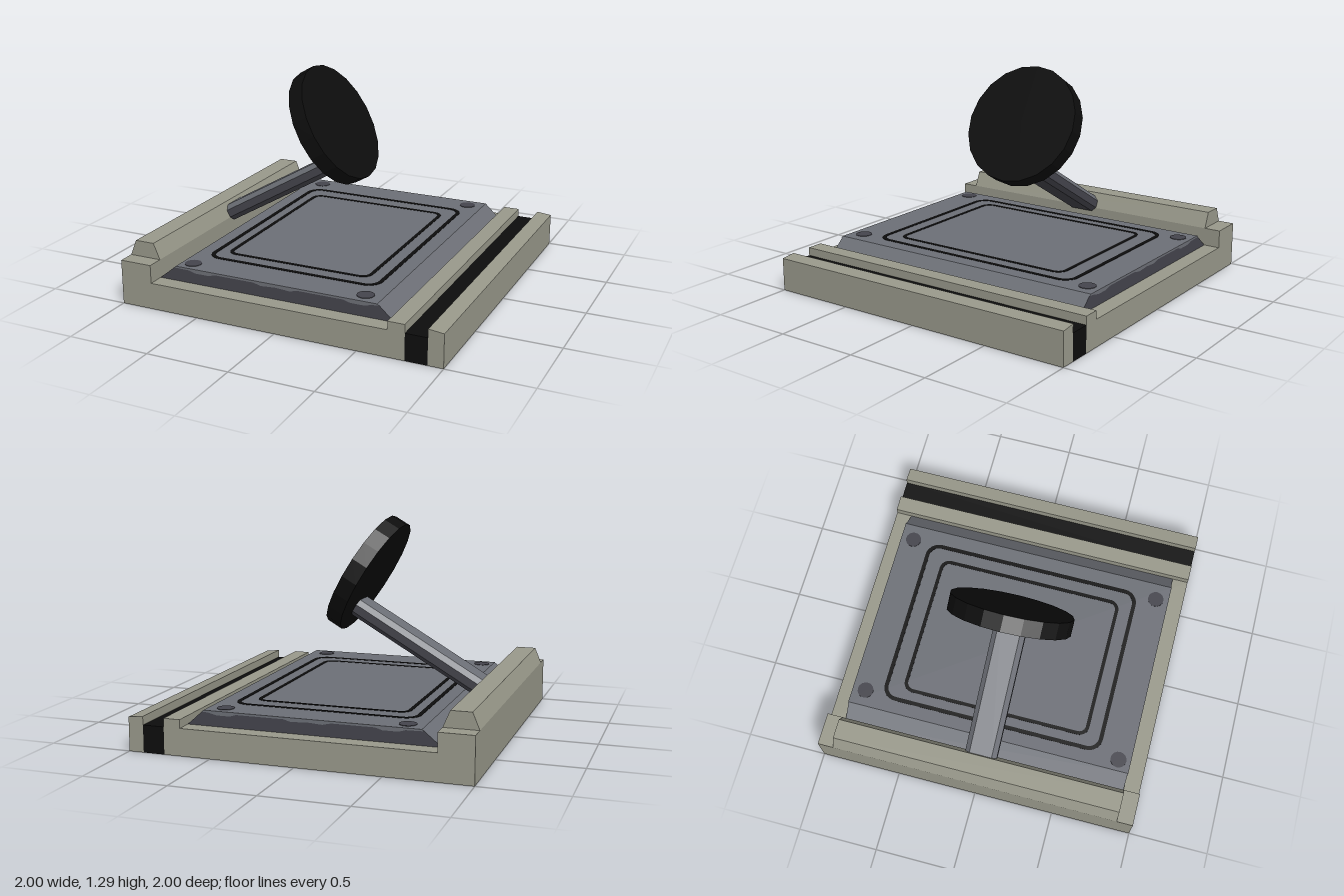
import * as THREE from 'three';

const mat = (name, color) => {
  const m = new THREE.MeshStandardMaterial({ color });
  m.name = name;
  return m;
};

export function createModel() {
  const group = new THREE.Group();
  const casing = mat('casing beige', 0x98988a);
  const metal = mat('metal grey', 0x6c6f76);
  const dark = mat('dark grey', 0x44444c);
  const black = mat('black', 0x0d0d0d);

  const add = (name, geometry, material) => {
    const mesh = new THREE.Mesh(geometry, material);
    mesh.name = name;
    group.add(mesh);
    return mesh;
  };
  const polygon = (pts) => new THREE.Shape(pts.map(([x, y]) => new THREE.Vector2(x, y)));
  // Extrude an outline along z, centred on z = 0
  const prism = (shape, depth) =>
    new THREE.ExtrudeGeometry(shape, { depth, bevelEnabled: false, curveSegments: 6 }).translate(0, 0, -depth / 2);

  // Casing: tray with a high left wall, plus a separate outer rail
  add('tray', prism(polygon([
    [-1, 0], [0.78, 0], [0.78, 0.21], [0.68, 0.21], [0.68, 0.16], [-0.8, 0.16], [-0.8, 0.27], [-1, 0.27],
  ]), 2), casing);
  add('outerRail', prism(polygon([[0.91, 0], [1, 0], [1, 0.2], [0.91, 0.21]]), 2), casing);
  add('ridge', prism(polygon([[-1, 0.27], [-0.8, 0.27], [-0.84, 0.365], [-0.96, 0.365]]), 1.8), casing);
  add('channelStrip', new THREE.BoxGeometry(0.13, 0.16, 2).translate(0.845, 0.08, 0), black);

  // Raised plate: dark ends, grey top and slopes
  add('plate', prism(polygon([[-0.8, 0.16], [0.68, 0.16], [0.58, 0.25], [-0.69, 0.25]]), 1.8), [dark, metal]);

  // Worn, scalloped upper edge on both plate ends
  const edge = polygon([
    [-0.69, 0.25], [-0.7, 0.24], [-0.6, 0.238], [-0.56, 0.226], [-0.47, 0.226], [-0.43, 0.238],
    [-0.18, 0.238], [-0.13, 0.226], [-0.04, 0.232], [0.05, 0.226], [0.1, 0.238],
    [0.38, 0.238], [0.42, 0.226], [0.5, 0.226], [0.55, 0.238], [0.59, 0.241], [0.58, 0.25],
  ]);
  for (const side of [-1, 1]) {
    add('wornEdge', prism(edge, 0.004).translate(0, 0, side * 0.901), metal);
  }

  // Rounded rectangular grooves on the plate
  const roundedRect = (target, hx, hy, r) => {
    target.moveTo(-hx + r, -hy);
    target.lineTo(hx - r, -hy);
    target.absarc(hx - r, -hy + r, r, -Math.PI / 2, 0);
    target.absarc(hx - r, hy - r, r, 0, Math.PI / 2);
    target.absarc(-hx + r, hy - r, r, Math.PI / 2, Math.PI);
    target.absarc(-hx + r, -hy + r, r, Math.PI, Math.PI * 1.5);
    return target;
  };
  for (const [cx, cz, hx, hz, r, w] of [
    [-0.06, -0.005, 0.55, 0.708, 0.09, 0.025],
    [-0.067, 0.003, 0.463, 0.6, 0.065, 0.022],
  ]) {
    const ring = roundedRect(new THREE.Shape(), hx, hz, r);
    ring.holes.push(roundedRect(new THREE.Path(), hx - w, hz - w, r - w));
    add('groove', prism(ring, 0.004).rotateX(-Math.PI / 2).translate(cx, 0.25, cz), black);
  }

  // Corner bolts
  for (const [x, z] of [[-0.59, -0.82], [0.48, -0.82], [-0.62, 0.825], [0.475, 0.82]]) {
    add('bolt', new THREE.CylinderGeometry(0.05, 0.05, 0.006, 16).translate(x, 0.25, z), dark);
  }

  // Leaning arm: local z runs up the arm, local y is its upper side
  const c = Math.cos(Math.PI / 6), s = 0.5;
  const lean = new THREE.Matrix4().makeBasis(
    new THREE.Vector3(0, 0, -1), new THREE.Vector3(-s, c, 0), new THREE.Vector3(c, s, 0),
  ).setPosition(-0.412, 0.525, 0);
  const armLength = 0.92;
  add('armTop', prism(polygon([[-0.1, 0.022], [0.1, 0.022], [0.07, 0.052], [-0.07, 0.052]]), armLength)
    .applyMatrix4(lean), metal);
  add('armBody', prism(polygon([
    [-0.1, 0.022], [-0.1, -0.025], [-0.075, -0.052], [0.075, -0.052], [0.1, -0.025], [0.1, 0.022],
  ]), armLength).applyMatrix4(lean), dark);

  // Tilted disc at the end of the arm, its axis along the arm
  add('disc', new THREE.CylinderGeometry(0.373, 0.373, 0.1, 20).toNonIndexed()
    .rotateZ(-Math.PI / 3).translate(-0.1, 0.942, 0), black).geometry.computeVertexNormals();

  return group;
}
